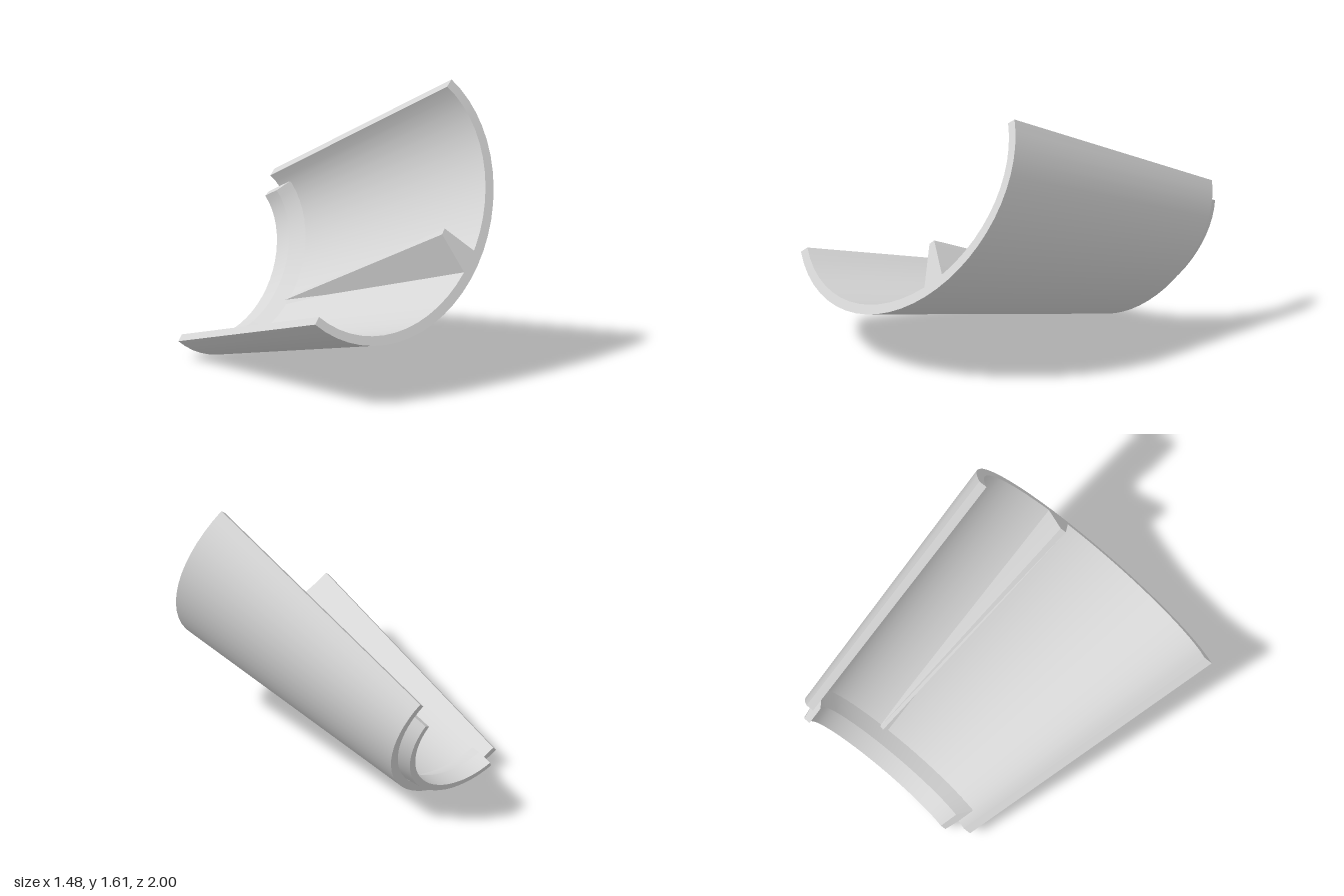
import * as THREE from 'three';
import { toCreasedNormals } from 'three/addons/utils/BufferGeometryUtils.js';

const FRONT = 1.05, BACK = -0.531;
const lerp = THREE.MathUtils.lerp, rad = THREE.MathUtils.degToRad;

// Directions of the long and short axes of the elliptical section
const LONG = [Math.cos(rad(42)), Math.sin(rad(42))];
const SHORT = [LONG[1], -LONG[0]];

// Point on the tapering ellipse at station w, angle t, set in by d from the outside
function wallPoint(w, t, d) {
  const s = (w - BACK) / (FRONT - BACK);
  const u = (lerp(0.64, 0.91, s) - d) * Math.cos(t);
  const p = (lerp(0.465, 0.70, s) - d) * Math.sin(t);
  return [
    lerp(0.004, -0.082, s) + u * LONG[0] + p * SHORT[0],
    lerp(0.777, 0.701, s) + u * LONG[1] + p * SHORT[1],
    w,
  ];
}

// Closed solid through a list of matching loops, capped at both ends
function loft(loops) {
  const n = loops[0].length, pos = [];
  const tri = (a, b, c) => pos.push(...a, ...b, ...c);
  for (let k = 0; k < loops.length - 1; k++) {
    const A = loops[k], B = loops[k + 1];
    for (let i = 0; i < n; i++) {
      const j = (i + 1) % n;
      tri(A[i], A[j], B[j]);
      tri(A[i], B[j], B[i]);
    }
  }
  const S = loops[0], E = loops[loops.length - 1];
  for (let i = 1; i < n - 1; i++) {
    tri(S[0], S[i + 1], S[i]);
    tri(E[0], E[i], E[i + 1]);
  }
  const g = new THREE.BufferGeometry();
  g.setAttribute('position', new THREE.Float32BufferAttribute(pos, 3));
  return toCreasedNormals(g, 0.2);
}

// Sweep a (w, inset) profile along the half ellipse, stopping short by `gap` degrees at each end
function arcSolid(profile, gap, steps) {
  const loops = [];
  for (let k = 0; k <= steps; k++) {
    const t = rad(lerp(180 - gap, gap, k / steps));
    loops.push(profile.map(([w, d]) => wallPoint(w, t, d)));
  }
  return loft(loops);
}

export function createModel() {
  const model = new THREE.Group();
  model.name = 'taperedHalfShell';
  const grey = new THREE.MeshStandardMaterial({ color: 0xd6d6d6 });
  grey.name = 'lightGrey';

  // Everything is built along the shell axis, then tilted
  const tilted = new THREE.Group();
  tilted.name = 'tiltedShell';
  tilted.rotation.x = -0.4115;
  model.add(tilted);
  const add = (name, geometry) => {
    const mesh = new THREE.Mesh(geometry, grey);
    mesh.name = name;
    tilted.add(mesh);
  };

  // Conical outer wall
  add('shellWall', arcSolid([[BACK, 0.05], [FRONT, 0.055], [FRONT, 0], [BACK, 0]], 1.7, 28));

  // Narrower lip at the small end, chamfered into the inside of the wall
  add('backLip', arcSolid([[-0.61, 0.1], [-0.51, 0.1], [-0.42, 0.04], [-0.61, 0.06]], 12.5, 24));

  // Inner rib, tall at the wide end and sinking into the wall at the back
  const section = (w, pts) => pts.map(([x, v]) => [x, v, w]);
  add('innerRib', loft([
    section(-0.45, [[0.225, 0.385], [0.33, 0.44], [0.29, 0.468], [0.27, 0.455]]),
    section(FRONT, [[0.365, 0.195], [0.475, 0.32], [0.30, 0.484], [0.272, 0.454]]),
  ]));

  return model;
}
